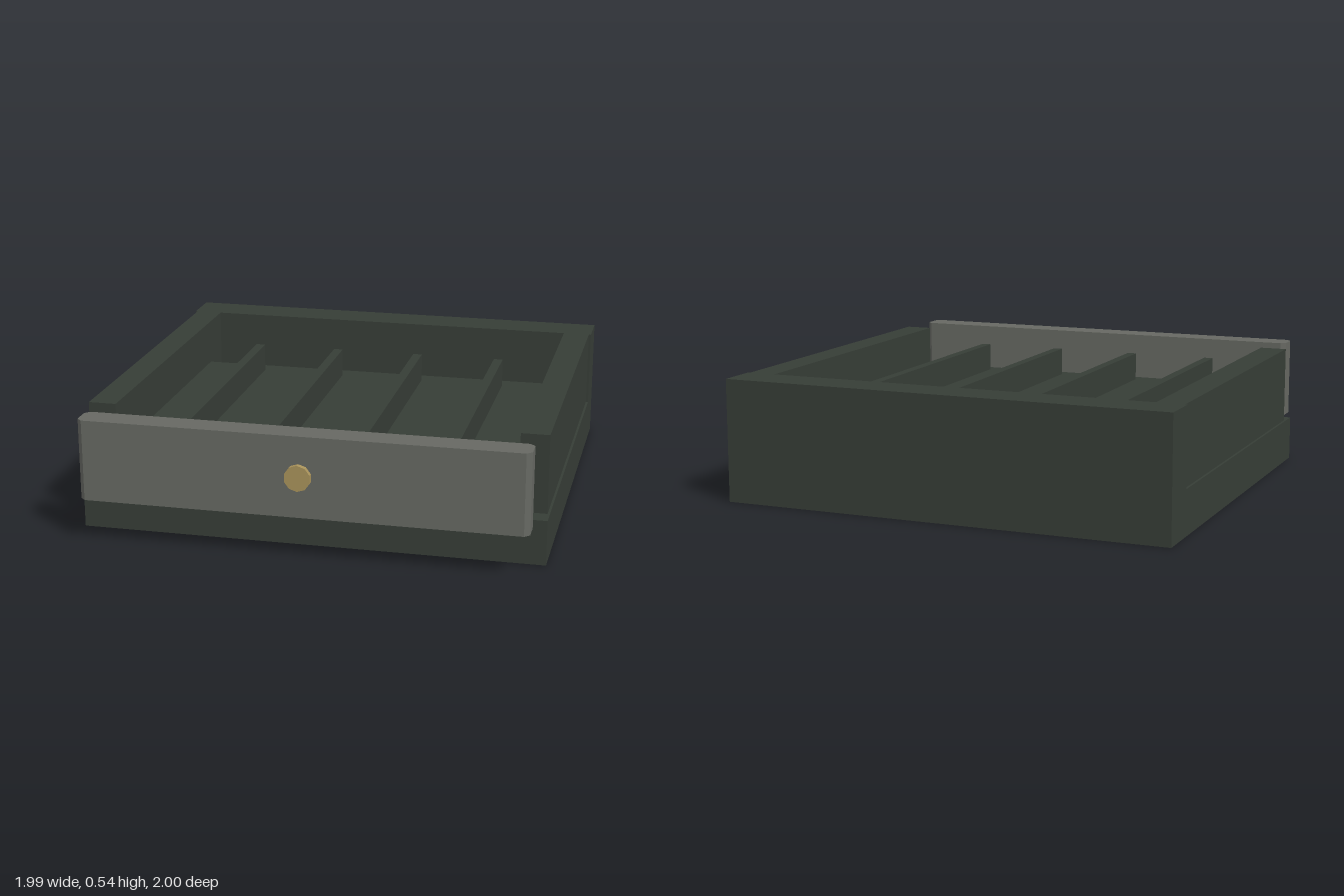
import * as THREE from 'three';

const darkGreen = new THREE.MeshStandardMaterial({ color: 0x363d36 });
darkGreen.name = 'dark green';
const stoneGrey = new THREE.MeshStandardMaterial({ color: 0x666862 });
stoneGrey.name = 'stone grey';
const brass = new THREE.MeshStandardMaterial({ color: 0xa8925a });
brass.name = 'brass';

export function createModel() {
  const model = new THREE.Group();
  model.name = 'openDrawer';

  const add = (name, geometry, material) => {
    const mesh = new THREE.Mesh(geometry, material);
    mesh.name = name;
    model.add(mesh);
    return mesh;
  };
  // Box given by its limits on each axis
  const box = (name, [x0, x1], [y0, y1], [z0, z1]) =>
    add(name, new THREE.BoxGeometry(x1 - x0, y1 - y0, z1 - z0)
      .translate((x0 + x1) / 2, (y0 + y1) / 2, (z0 + z1) / 2), darkGreen);

  // Housing: base slab, back wall and two slightly inset side walls
  box('base', [-0.995, 0.995], [0, 0.195], [-1, 0.8]);
  box('backWall', [-0.995, 0.995], [0.195, 0.535], [-1, -0.82]);
  box('leftWall', [0.865, 0.985], [0.195, 0.535], [-0.82, 0.72]);
  box('rightWall', [-0.985, -0.865], [0.195, 0.535], [-0.82, 0.72]);

  // Sliding tray, raised just clear of the base, with four dividers
  box('tray', [-0.875, 0.875], [0.21, 0.33], [-0.64, 0.86]);
  for (const x of [-0.585, -0.195, 0.195, 0.585]) {
    box('divider', [x - 0.021, x + 0.021], [0.33, 0.458], [-0.565, 0.795]);
  }

  // Front panel: plan outline with chamfered corners, extruded upwards
  const w = 0.945, d = 0.06, c = 0.022;
  const outline = new THREE.Shape([
    [-w + c, -d], [w - c, -d], [w, -d + c], [w, d - c],
    [w - c, d], [-w + c, d], [-w, d - c], [-w, -d + c],
  ].map(([x, y]) => new THREE.Vector2(x, y)));
  const panel = new THREE.ExtrudeGeometry(outline, { depth: 0.35, bevelEnabled: false });
  panel.rotateX(-Math.PI / 2).translate(0, 0.19, 0.918);
  add('frontPanel', panel, stoneGrey);

  // Low faceted knob
  const knob = new THREE.CylinderGeometry(0.056, 0.056, 0.04, 10).toNonIndexed();
  knob.computeVertexNormals();
  knob.rotateX(Math.PI / 2).translate(0, 0.367, 0.98);
  add('knob', knob, brass);

  return model;
}
